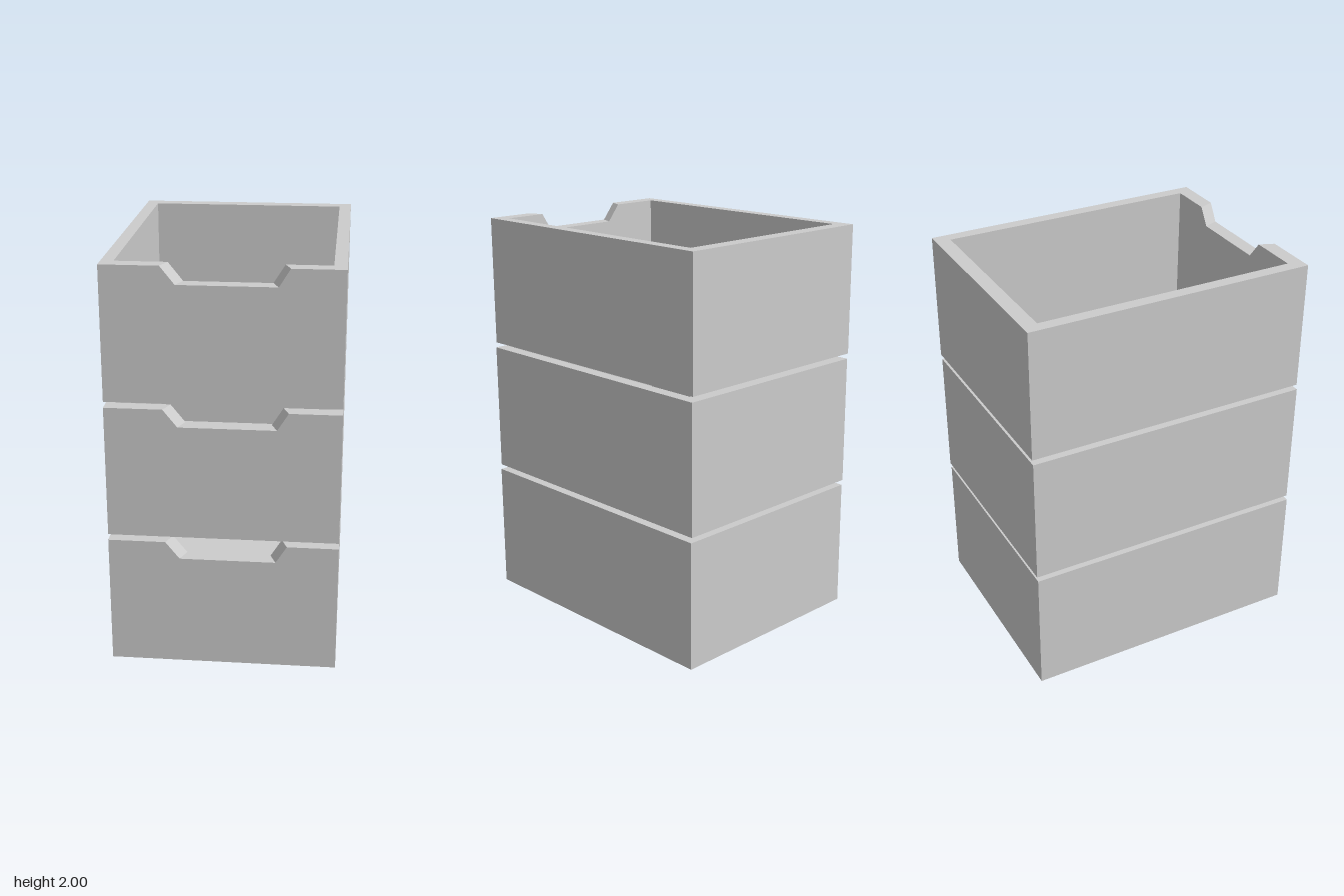
import * as THREE from 'three';

const W = 1.1, H = 0.645, D = 1.438;      // outer size of one tray
const SIDE = 0.06, END = 0.073, BASE = 0.06; // wall and floor thickness
const TILT = 0.0065, PITCH = 0.6725;

const material = new THREE.MeshStandardMaterial({ color: 0xcccccc, flatShading: true });

function addBox(parent, name, [w, h, d], [x, y, z]) {
  const mesh = new THREE.Mesh(new THREE.BoxGeometry(w, h, d), material);
  mesh.name = name;
  mesh.position.set(x, y, z);
  parent.add(mesh);
}

// Front panel with a sloped grip notch that narrows towards the inside
function frontPanelGeometry() {
  const notchY = H / 2 - 0.085;
  const shape = new THREE.Shape([
    [-W / 2, -H / 2], [W / 2, -H / 2], [W / 2, H / 2], [0.305, H / 2],
    [0.252, notchY], [-0.207, notchY], [-0.275, H / 2], [-W / 2, H / 2],
  ].map(([x, y]) => new THREE.Vector2(x, y)));
  const geometry = new THREE.ExtrudeGeometry(shape, { depth: END, bevelEnabled: false });
  const pos = geometry.attributes.position;
  for (let i = 0; i < pos.count; i++) {
    const x = pos.getX(i);
    if (pos.getZ(i) < END / 2 && Math.abs(x) < 0.4) {
      pos.setX(i, x - Math.sign(x) * 0.028);
    }
  }
  geometry.computeVertexNormals();
  return geometry;
}

// Open-topped tray centred on its own origin
function createTray() {
  const tray = new THREE.Group();
  const sideLength = D - 2 * END;
  for (const s of [-1, 1]) {
    addBox(tray, s > 0 ? 'leftWall' : 'rightWall',
      [SIDE, H, sideLength], [s * (W - SIDE) / 2, 0, 0]);
  }
  addBox(tray, 'backWall', [W, H, END], [0, 0, -(D - END) / 2]);
  addBox(tray, 'floor', [W - 2 * SIDE, BASE, sideLength], [0, (BASE - H) / 2, 0]);

  const front = new THREE.Mesh(frontPanelGeometry(), material);
  front.name = 'frontPanel';
  front.position.z = D / 2 - END;
  tray.add(front);
  return tray;
}

export function createModel() {
  const model = new THREE.Group();
  model.name = 'drawerStack';
  // Three trays, each leaning very slightly forward
  const names = ['bottomDrawer', 'middleDrawer', 'topDrawer'];
  names.forEach((name, i) => {
    const tray = createTray();
    tray.name = name;
    tray.rotation.x = TILT;
    tray.position.y = 0.3275 + i * PITCH;
    model.add(tray);
  });
  return model;
}
